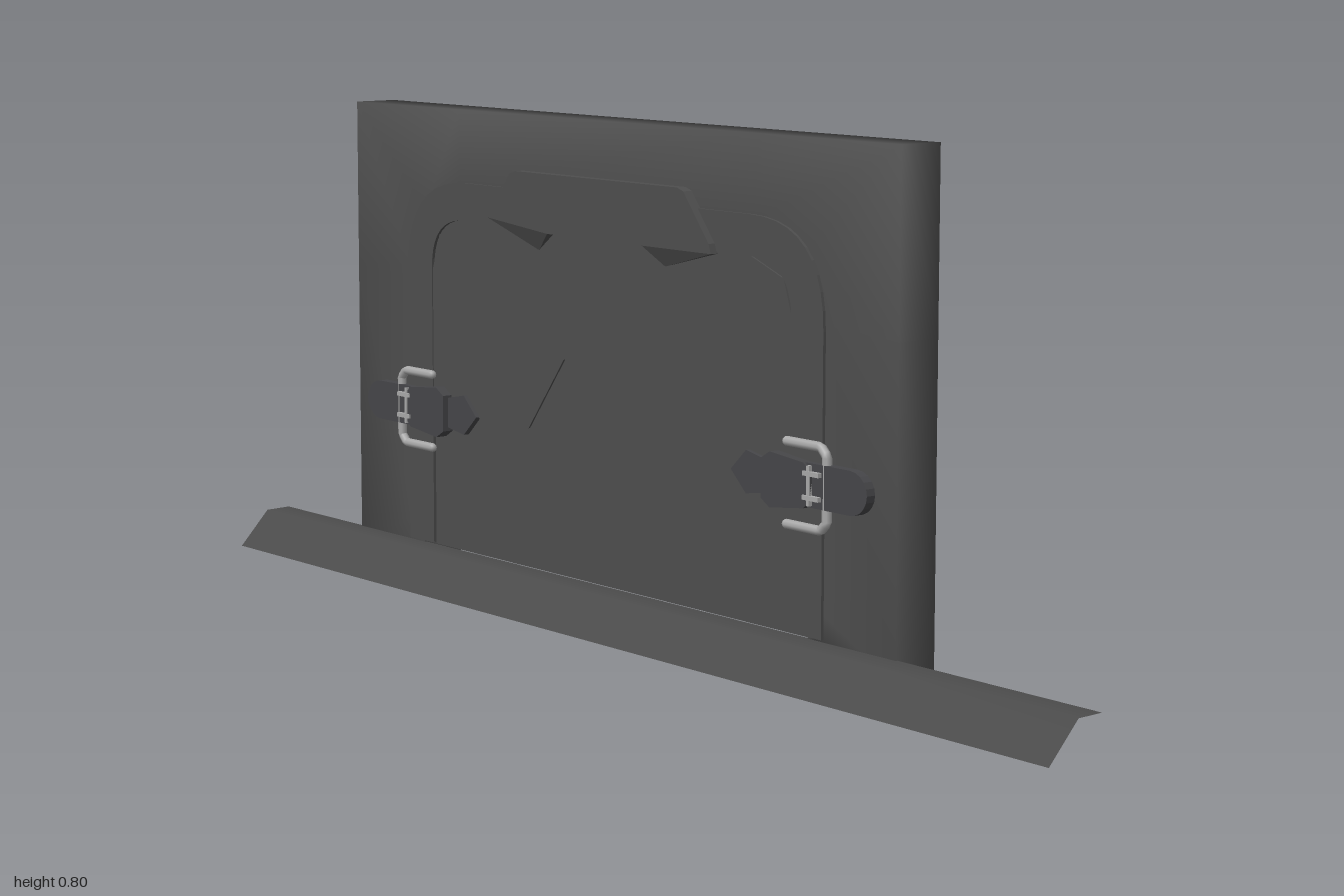
import * as THREE from 'three';

const mat = (name, color, side = THREE.FrontSide) => {
  const m = new THREE.MeshStandardMaterial({ color, side });
  m.name = name;
  return m;
};

export function createModel() {
  const leather = mat('dark grey leather', 0x4e4e4e);
  const strapMat = mat('strap grey', 0x464649);
  const railMat = mat('rail grey', 0x4a4a4a, THREE.DoubleSide);
  const metal = mat('buckle metal', 0xa9a9a9);
  const olive = mat('olive mark', 0x6c6c26);

  const model = new THREE.Group();
  const bag = new THREE.Group();
  bag.name = 'bag';
  bag.position.set(0.035, 0, -0.08);
  model.add(bag);

  const add = (name, geo, material, parent = bag) => {
    const m = new THREE.Mesh(geo, material);
    m.name = name;
    parent.add(m);
    return m;
  };
  const indexed = (pos, idx) => {
    const g = new THREE.BufferGeometry();
    g.setAttribute('position', new THREE.Float32BufferAttribute(pos, 3));
    g.setIndex(idx);
    g.computeVertexNormals();
    return g;
  };
  const mirrored = (half) => [...half, ...half.map(([w, y]) => [-w, y]).reverse()];
  const shapeOf = (pts) => new THREE.Shape(pts.map(([w, y]) => new THREE.Vector2(w, y)));
  // Outline in (z, y), extruded through the panel to stand out equally on both faces
  const plate = (shape, halfX) => {
    const g = new THREE.ExtrudeGeometry(shape, { depth: halfX * 2, bevelEnabled: false, curveSegments: 10 });
    return g.rotateY(-Math.PI / 2).translate(halfX, 0, 0);
  };

  // Panel: outer and inset outlines on both faces, with a notch at the bottom
  const T = 0.038;
  const outer = mirrored([[0.49, 0.025], [0.68, 0.025], [0.68, 0.52], [0.68, 0.8], [0.38, 0.8]]);
  const inset = mirrored([[0.49, 0.062], [0.525, 0.1], [0.525, 0.53], [0.48, 0.63], [0.38, 0.68]]);
  const n = outer.length;
  const pos = [], idx = [];
  const quad = (a, b, c, d) => idx.push(a, b, c, a, c, d);
  for (const s of [1, -1]) {
    for (const [w, y] of [...outer, ...inset, [0, 0.35]]) pos.push(s * T, y, w);
  }
  const F = 2 * n + 1;
  for (let i = 0; i < n; i++) {
    const j = (i + 1) % n;
    idx.push(2 * n, n + j, n + i, F + 2 * n, F + n + i, F + n + j);
    if (j === 0) continue;
    quad(i, n + i, n + j, j);
    quad(F + i, F + j, F + n + j, F + n + i);
    quad(i, j, F + j, F + i);
  }
  add('panel', indexed(pos, idx), leather);

  // Walls of the notch
  const notch = [outer[n - 1], inset[n - 1], inset[0], outer[0]];
  const nPos = [], nIdx = [];
  for (let i = 0; i < 3; i++) {
    const [a, b] = [notch[i], notch[i + 1]];
    nPos.push(T, a[1], a[0], T, b[1], b[0], -T, b[1], b[0], -T, a[1], a[0]);
    nIdx.push(4 * i, 4 * i + 1, 4 * i + 2, 4 * i, 4 * i + 2, 4 * i + 3);
  }
  add('notchWalls', indexed(nPos, nIdx), leather);

  // Arched band running around the flap
  const band = new THREE.Shape();
  band.moveTo(0.525, 0.064);
  band.lineTo(0.525, 0.52);
  band.quadraticCurveTo(0.525, 0.68, 0.36, 0.68);
  band.lineTo(-0.36, 0.68);
  band.quadraticCurveTo(-0.525, 0.68, -0.525, 0.52);
  band.lineTo(-0.525, 0.064);
  band.lineTo(-0.455, 0.064);
  band.lineTo(-0.455, 0.53);
  band.quadraticCurveTo(-0.455, 0.618, -0.36, 0.618);
  band.lineTo(0.36, 0.618);
  band.quadraticCurveTo(0.455, 0.618, 0.455, 0.53);
  band.lineTo(0.455, 0.064);
  add('archedBand', plate(band, 0.043), leather);

  // Flap with a stepped lower edge
  add('flap', plate(shapeOf(mirrored(
    [[0.095, 0.415], [0.19, 0.292], [0.455, 0.292], [0.455, 0.53], [0.435, 0.59], [0.36, 0.618]])), 0.041), leather);

  // Handle with two tapered tabs
  const handle = plate(shapeOf(mirrored(
    [[0.12, 0.615], [0.16, 0.585], [0.285, 0.615], [0.28, 0.63], [0.22, 0.705], [0.205, 0.71]])), 0.055);
  const hp = handle.attributes.position;
  for (let i = 0; i < hp.count; i++) if (hp.getY(i) < 0.6) hp.setX(i, hp.getX(i) * 0.74);
  handle.computeVertexNormals();
  add('handle', handle, leather);

  // Straps and buckles at each end
  for (const s of [1, -1]) {
    const end = new THREE.Group();
    end.name = s > 0 ? 'frontStrap' : 'backStrap';
    bag.add(end);
    const flip = (pts) => shapeOf(pts.map(([w, y]) => [w * s, y]));

    const tail = [[0.5, 0.327], [0.5, 0.261]];
    for (let k = 0; k <= 10; k++) {
      const a = -Math.PI / 2 + (k / 10) * Math.PI;
      tail.push([0.596 + 0.037 * Math.cos(a), 0.294 + 0.033 * Math.sin(a)]);
    }
    add('strapTail', plate(flip(tail), 0.054), strapMat, end);
    add('strapKeeper', plate(flip([[0.515, 0.315], [0.5, 0.327], [0.425, 0.334], [0.405, 0.322],
      [0.405, 0.262], [0.425, 0.25], [0.5, 0.259], [0.515, 0.272]]), 0.058), strapMat, end);
    add('strapPoint', plate(flip([[0.405, 0.318], [0.36, 0.327], [0.325, 0.294],
      [0.36, 0.261], [0.405, 0.268]]), 0.048), strapMat, end);

    for (const f of [1, -1]) {
      const path = new THREE.CurvePath();
      const pts = [[0.452, 0.352], [0.527, 0.352], [0.54, 0.339], [0.54, 0.241], [0.527, 0.228], [0.452, 0.228]]
        .map(([w, y]) => new THREE.Vector3(f * 0.047, y, s * w));
      for (let i = 0; i < 5; i++) path.add(new THREE.LineCurve3(pts[i], pts[i + 1]));
      add('buckleFrame', new THREE.TubeGeometry(path, 48, 0.0075, 8), metal, end);
      // Closed ends of the frame
      for (const p of [pts[0], pts[5]]) {
        add('buckleFrameEnd', new THREE.SphereGeometry(0.0075, 8, 6), metal, end).position.copy(p);
      }
      for (const y of [0.276, 0.312]) {
        add('buckleProng', new THREE.BoxGeometry(0.008, 0.007, 0.035), metal, end)
          .position.set(f * 0.057, y, s * 0.518);
      }
      add('bucklePin', new THREE.BoxGeometry(0.006, 0.06, 0.006), metal, end)
        .position.set(f * 0.057, 0.294, s * 0.512);
    }
    // Small painted mark below each strap
    add('mark', new THREE.BoxGeometry(0.002, 0.013, 0.04), olive, end).position.set(0.0385, 0.21, s * 0.325);
  }

  // Thin bent rail along the bottom
  const rail = [[0, 0.06], [-0.045, 0.059], [-0.1, 0]];
  const rPos = [], rIdx = [];
  for (const [x, y] of rail) rPos.push(x, y, -1, x, y, 1);
  for (let i = 0; i < 4; i += 2) rIdx.push(i, i + 2, i + 3, i, i + 3, i + 1);
  add('bottomRail', indexed(rPos, rIdx), railMat, model);

  return model;
}
